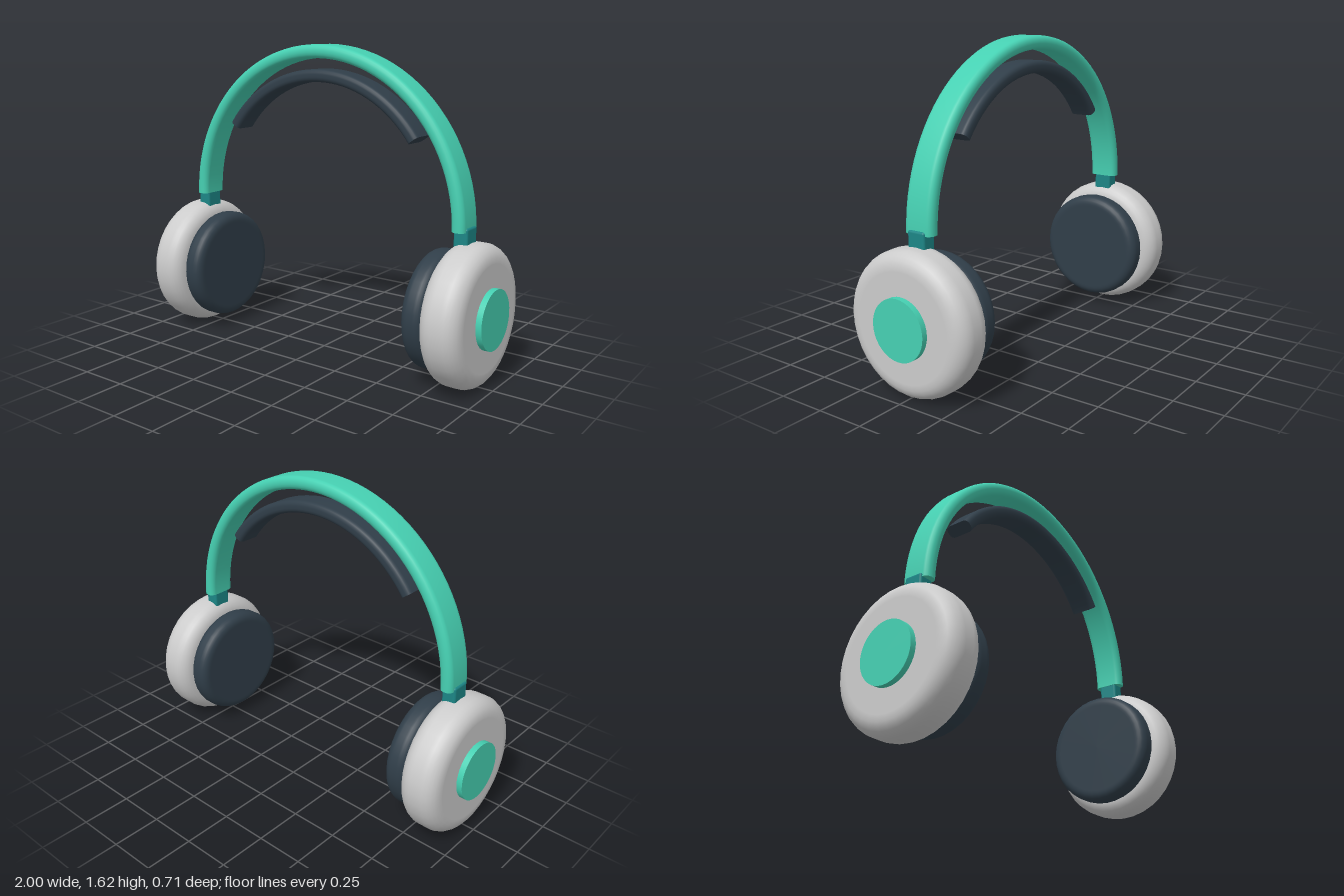
import * as THREE from 'three';
import { mergeGeometries } from 'three/addons/utils/BufferGeometryUtils.js';
import { RoundedBoxGeometry } from 'three/addons/geometries/RoundedBoxGeometry.js';

const ARC_Y = 0.77; // shared centre height of the band and head pad arcs
const CUP_Y = 0.36;

const mat = (color) => new THREE.MeshStandardMaterial({ color });
const shell = mat(0xcccccc);
const mint = mat(0x46d0b2);
const teal = mat(0x1c8686);
const dark = mat(0x303e49);

function mesh(name, geometry, material) {
  const m = new THREE.Mesh(geometry, material);
  m.name = name;
  return m;
}

// Rounded rectangle swept along an arc over the head, with closed ends
function arcBar(rInner, rOuter, width, corner, halfAngle, segments) {
  const mid = (rInner + rOuter) / 2;
  const hx = (rOuter - rInner) / 2 - corner;
  const hz = width / 2 - corner;
  const section = [new THREE.Vector2(rOuter, 0)];
  const centres = [[hx, hz], [-hx, hz], [-hx, -hz], [hx, -hz]];
  centres.forEach(([cx, cz], q) => {
    for (let i = 0; i <= 4; i++) {
      const a = (q + i / 4) * Math.PI / 2;
      section.push(new THREE.Vector2(mid + cx + corner * Math.cos(a), cz + corner * Math.sin(a)));
    }
  });
  const start = Math.PI - halfAngle;
  const end = Math.PI + halfAngle;
  const cap = new THREE.ShapeGeometry(new THREE.Shape(section));
  const startCap = cap.clone().rotateY(start - Math.PI / 2);
  const endCap = cap.clone().rotateX(Math.PI).rotateY(end - Math.PI / 2);
  const sweep = new THREE.LatheGeometry([...section, section[0].clone()], segments, start, halfAngle * 2);
  return mergeGeometries([sweep, startCap, endCap])
    .rotateX(Math.PI / 2)
    .translate(0, ARC_Y, 0);
}

// Disc with rounded rims, lying along x from x0 to x1
function roundedDisc(radius, x0, x1, corner) {
  const pts = [new THREE.Vector2(0, x0), new THREE.Vector2(radius - corner - 0.01, x0)];
  for (const [cy, from] of [[x0 + corner, -Math.PI / 2], [x1 - corner, 0]]) {
    for (let i = 0; i <= 6; i++) {
      const a = from + (i / 6) * Math.PI / 2;
      pts.push(new THREE.Vector2(radius - corner + corner * Math.cos(a), cy + corner * Math.sin(a)));
    }
  }
  pts.push(new THREE.Vector2(radius - corner - 0.01, x1), new THREE.Vector2(0, x1));
  return new THREE.LatheGeometry(pts, 36).rotateZ(-Math.PI / 2).translate(0, CUP_Y, 0);
}

// One ear unit, built for the +x side
function earUnit(name) {
  const g = new THREE.Group();
  g.name = name;
  g.add(mesh('earCup', roundedDisc(0.355, 0.76, 0.97, 0.08), shell));
  g.add(mesh('earCushion', roundedDisc(0.3, 0.645, 0.765, 0.045), dark));
  const cap = new THREE.CylinderGeometry(0.15, 0.15, 0.06, 36).rotateZ(Math.PI / 2);
  g.add(mesh('sideCap', cap.translate(0.97, CUP_Y, 0), mint));
  const slider = new RoundedBoxGeometry(0.075, 0.2, 0.1, 2, 0.012);
  g.add(mesh('slider', slider.translate(0.826, 0.69, 0), teal));
  return g;
}

export function createModel() {
  const model = new THREE.Group();
  model.name = 'headphones';

  // Headband and the shorter pad beneath it
  model.add(mesh('headband', arcBar(0.785, 0.855, 0.16, 0.03, Math.PI / 2, 48), mint));
  model.add(mesh('headPad', arcBar(0.665, 0.73, 0.14, 0.025, 0.3 * Math.PI, 32), dark));

  // Matching ear units
  const left = earUnit('leftEar');
  const right = earUnit('rightEar');
  right.rotation.y = Math.PI;
  model.add(left, right);
  return model;
}
